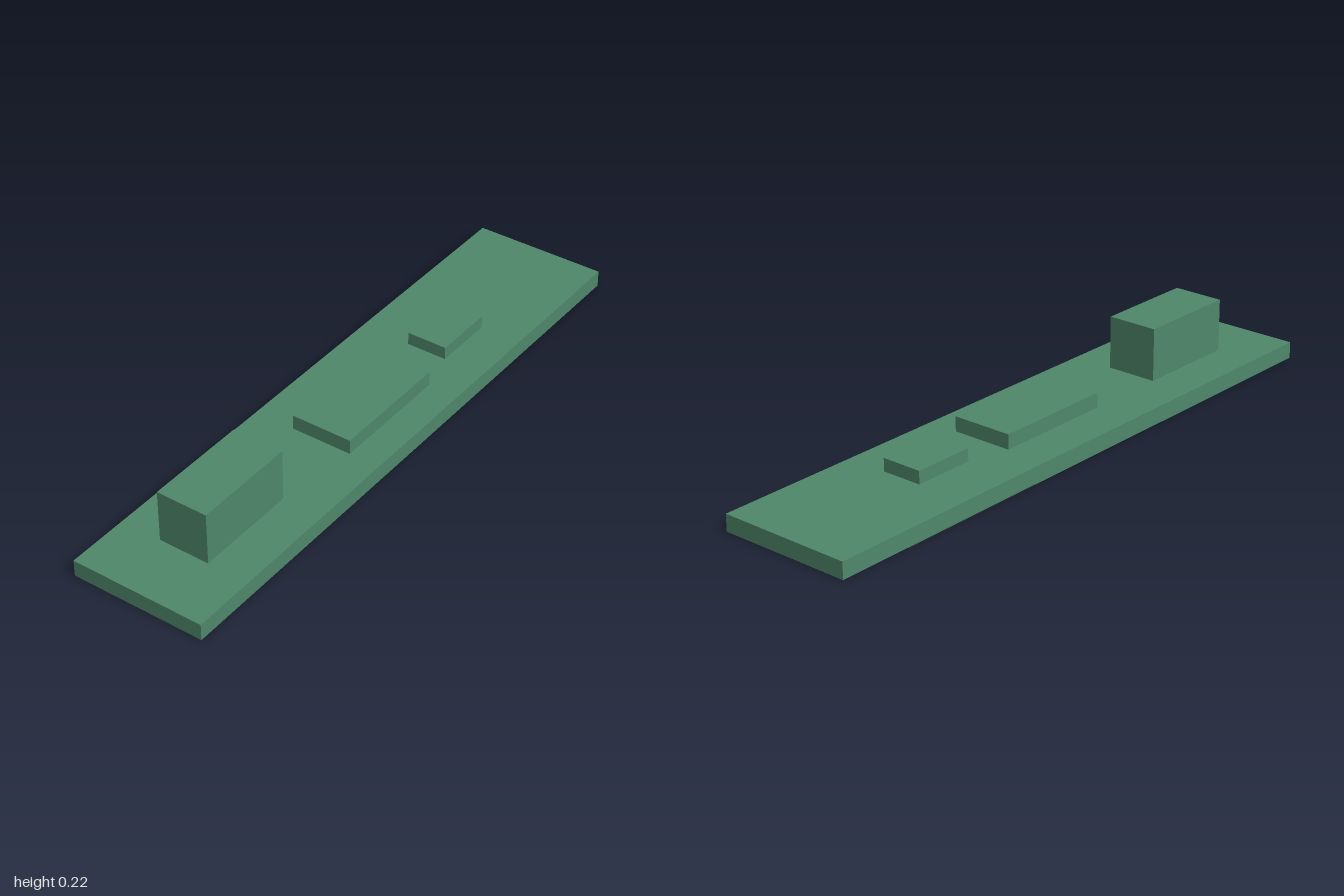
import * as THREE from 'three';

const BASE_TOP = 0.053;

export function createModel() {
  const model = new THREE.Group();
  model.name = 'circuitBoard';
  const boardGreen = new THREE.MeshStandardMaterial({ color: 0x4f876a });
  boardGreen.name = 'boardGreen';

  // Box spanning the given ranges on each axis
  function block(name, [x0, x1], [y0, y1], [z0, z1]) {
    const mesh = new THREE.Mesh(new THREE.BoxGeometry(x1 - x0, y1 - y0, z1 - z0), boardGreen);
    mesh.position.set((x0 + x1) / 2, (y0 + y1) / 2, (z0 + z1) / 2);
    mesh.name = name;
    model.add(mesh);
  }

  // Flat base board
  block('board', [-1, 1], [0, BASE_TOP], [-0.217, 0.217]);

  // Components standing on the board
  block('tallConnector', [-0.8, -0.467], [BASE_TOP, 0.22], [-0.083, 0.083]);
  block('mainChip', [-0.2, 0.2], [BASE_TOP, 0.1], [-0.083, 0.117]);
  block('smallChip', [0.333, 0.533], [BASE_TOP, 0.094], [-0.05, 0.083]);

  return model;
}
